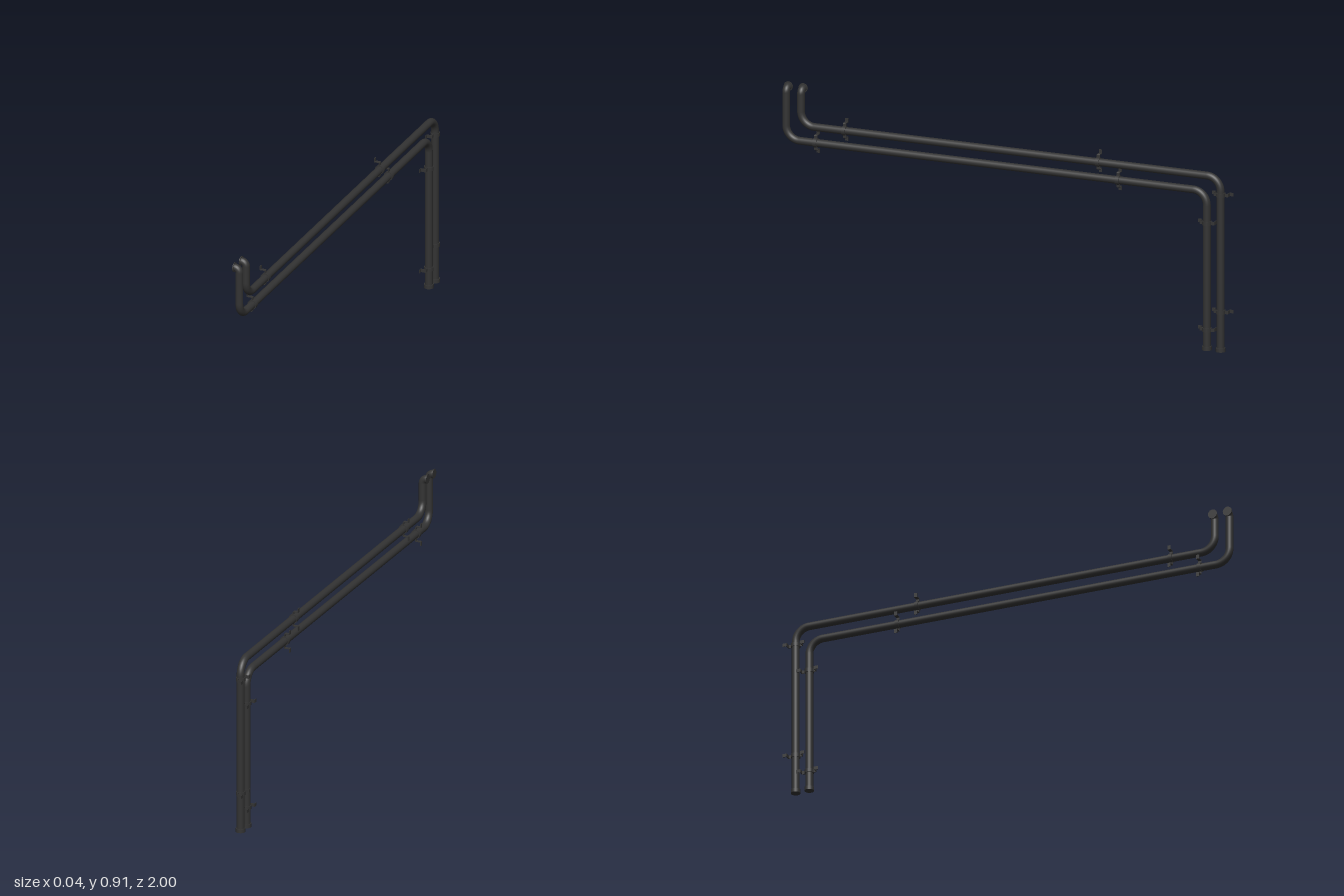
import * as THREE from 'three';
import { mergeGeometries } from 'three/addons/utils/BufferGeometryUtils.js';

const R = 0.016; // pipe radius
const material = new THREE.MeshStandardMaterial({ color: 0x333333 });
const V = (x, y, z) => new THREE.Vector3(x, y, z);

function mesh(name, geometry) {
  const m = new THREE.Mesh(geometry, material);
  m.name = name;
  return m;
}

// Round tube through corner points, each inner corner rounded by its own radius
function pipeGeometry(points, radii) {
  const parts = [];
  const add = (curve, steps) => parts.push(new THREE.TubeGeometry(curve, steps, R, 20, false));
  let start = points[0];
  for (let i = 1; i < points.length - 1; i++) {
    const p = points[i], r = radii[i - 1], k = r * 0.4477;
    const toPrev = points[i - 1].clone().sub(p).normalize();
    const toNext = points[i + 1].clone().sub(p).normalize();
    const a = p.clone().addScaledVector(toPrev, r);
    const b = p.clone().addScaledVector(toNext, r);
    add(new THREE.LineCurve3(start, a), 1);
    add(new THREE.CubicBezierCurve3(a, p.clone().addScaledVector(toPrev, k),
      p.clone().addScaledVector(toNext, k), b), 10);
    start = b;
  }
  add(new THREE.LineCurve3(start, points[points.length - 1]), 1);
  return mergeGeometries(parts);
}

// Clamp round a pipe lying along z: a band plus two stepped arms with wall feet
function makeClamp() {
  const clamp = new THREE.Group();
  clamp.name = 'pipeClamp';
  clamp.add(mesh('clampBand', new THREE.CylinderGeometry(0.0195, 0.0195, 0.016, 20).rotateX(Math.PI / 2)));
  const s = new THREE.Shape();
  s.moveTo(0.0015, 0.017);
  s.lineTo(0.0015, 0.029);
  s.quadraticCurveTo(0.0015, 0.033, -0.003, 0.033);
  s.lineTo(-0.0205, 0.033);
  s.lineTo(-0.0205, 0.048);
  s.lineTo(-0.0235, 0.048);
  s.lineTo(-0.0235, 0.030);
  s.lineTo(-0.0035, 0.030);
  s.quadraticCurveTo(-0.0015, 0.030, -0.0015, 0.028);
  s.lineTo(-0.0015, 0.017);
  const arm = new THREE.ExtrudeGeometry(s, { depth: 0.014, bevelEnabled: false, curveSegments: 4 });
  arm.translate(0, 0, -0.007);
  for (const turn of [0, Math.PI]) {
    const m = mesh('clampArm', arm);
    m.rotation.x = turn;
    clamp.add(m);
  }
  return clamp;
}

// One drainpipe: downpipe at the back, long run, short riser and wall elbow at the front
function makePipe({ backZ, frontZ, runY, onDown, onRun }) {
  const pipe = new THREE.Group();
  pipe.name = 'pipeRun';
  const topY = 0.892;
  pipe.add(mesh('pipe', pipeGeometry(
    [V(0, 0, backZ), V(0, runY, backZ), V(0, runY, frontZ), V(0, topY, frontZ), V(-0.022, topY, frontZ)],
    [0.06, 0.06, 0.02])));

  // Collars at both ends
  const foot = mesh('baseCollar', new THREE.CylinderGeometry(0.02, 0.02, 0.016, 20));
  foot.position.set(0, 0.008, backZ);
  const flange = mesh('endFlange', new THREE.CylinderGeometry(0.02, 0.02, 0.004, 20).rotateZ(Math.PI / 2));
  flange.position.set(-0.0215, topY, frontZ);
  pipe.add(foot, flange);

  // Clamps
  for (const y of onDown) {
    const c = makeClamp();
    c.rotation.x = Math.PI / 2;
    c.position.set(0, y, backZ);
    pipe.add(c);
  }
  for (const z of onRun) {
    const c = makeClamp();
    c.position.set(0, runY, z);
    pipe.add(c);
  }
  return pipe;
}

export function createModel() {
  const model = new THREE.Group();
  model.name = 'drainpipes';
  model.add(
    makePipe({ backZ: -0.951, frontZ: 0.916, runY: 0.739, onDown: [0.168, 0.664], onRun: [0.722, -0.407] }),
    makePipe({ backZ: -0.89, frontZ: 0.982, runY: 0.673, onDown: [0.086, 0.538], onRun: [0.85, -0.495] }),
  );
  return model;
}
